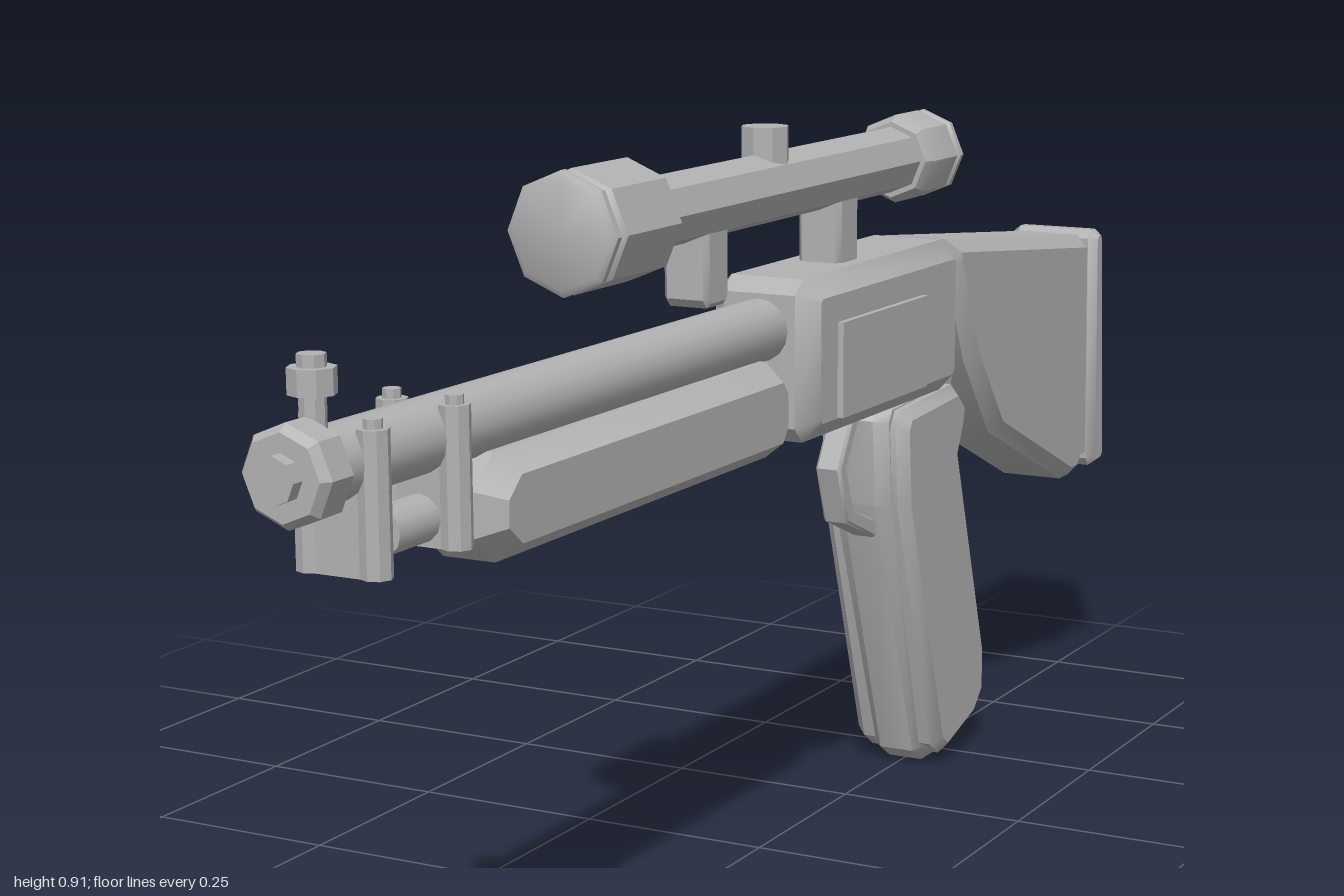
import * as THREE from 'three';
import { toCreasedNormals, mergeVertices } from 'three/addons/utils/BufferGeometryUtils.js';

const grey = new THREE.MeshStandardMaterial({ color: 0xb2b2b2 });
grey.name = 'grey';

export function createModel() {
  const model = new THREE.Group();

  function add(name, geometry) {
    const mesh = new THREE.Mesh(toCreasedNormals(geometry, 0.6), grey);
    mesh.name = name;
    model.add(mesh);
    return mesh;
  }

  // Side profile of [z, y] points, widened along x, with bevelled edges
  function slab(name, points, halfWidth, bevel, thickness = bevel, x = 0) {
    const shape = new THREE.Shape(points.map(([z, y]) => new THREE.Vector2(z, y)));
    const depth = 2 * (halfWidth - thickness);
    const g = new THREE.ExtrudeGeometry(shape, {
      depth, bevelEnabled: bevel > 0, bevelSize: bevel, bevelOffset: -bevel,
      bevelThickness: thickness, bevelSegments: 1,
    });
    g.translate(0, 0, -depth / 2).rotateY(-Math.PI / 2).translate(x, 0, 0);
    return add(name, g);
  }

  const rect = (z0, z1, y0, y1) => [[z0, y0], [z1, y0], [z1, y1], [z0, y1]];

  // Turned part along z: profile of [radius, z] from back to front
  function turned(name, y, profile, sides) {
    const g = new THREE.LatheGeometry(profile.map(([r, z]) => new THREE.Vector2(r, z)), sides);
    g.deleteAttribute('normal');
    g.deleteAttribute('uv');
    return add(name, mergeVertices(g.rotateX(Math.PI / 2).translate(0, y, 0)));
  }

  function upright(name, x, z, y0, y1, radius, sides) {
    const g = new THREE.CylinderGeometry(radius, radius, y1 - y0, sides);
    return add(name, g.translate(x, (y0 + y1) / 2, z));
  }

  // Barrel, muzzle and front sight
  turned('barrel', 0.665, [[0, -0.02], [0.039, -0.02], [0.039, 0.95], [0, 0.95]], 16);
  turned('muzzle', 0.665, [[0, 0.93], [0.045, 0.93], [0.053, 0.94], [0.053, 0.975],
    [0.045, 0.985], [0.025, 0.985], [0.025, 1], [0, 1]], 8);
  upright('frontSightPost', 0, 0.93, 0.69, 0.76, 0.014, 8);
  upright('frontSightBead', 0, 0.93, 0.738, 0.765, 0.025, 8);
  upright('frontSightTip', 0, 0.93, 0.765, 0.778, 0.015, 8);

  // Barrel bands: a plate under the barrel between two round posts
  for (const z of [0.885, 0.74]) {
    slab('bandPlate', rect(z - 0.012, z + 0.012, 0.55, 0.67), 0.048, 0);
    for (const side of [-1, 1]) {
      upright('bandPost', side * 0.038, z, 0.55, 0.7, 0.017, 8);
      upright('bandPostCap', side * 0.038, z, 0.7, 0.71, 0.01, 8);
    }
  }

  // Lower tube and fore-end
  turned('lowerTube', 0.58, [[0, 0], [0.026, 0], [0.026, 0.825], [0, 0.825]], 12);
  slab('foreEnd', [[0.02, 0.55], [0.045, 0.517], [0.66, 0.517], [0.7, 0.55], [0.7, 0.6],
    [0.66, 0.635], [0.045, 0.635], [0.02, 0.605]], 0.062, 0.022, 0.03);

  // Receiver with a raised plate on each side
  slab('receiver', [[0, 0.545], [-0.02, 0.525], [-0.43, 0.525], [-0.45, 0.545],
    [-0.45, 0.71], [-0.43, 0.728], [-0.02, 0.728], [0, 0.71]], 0.073, 0.024);
  for (const side of [-1, 1]) {
    slab('receiverPlate', rect(-0.32, -0.07, 0.55, 0.67), 0.006, 0, 0, side * 0.075);
  }

  // Stock and butt plate
  slab('stockNeck', rect(-0.48, -0.43, 0.57, 0.7), 0.045, 0.01);
  slab('stock', [[-0.455, 0.725], [-0.935, 0.675], [-0.945, 0.35], [-0.915, 0.317],
    [-0.88, 0.317], [-0.61, 0.435], [-0.52, 0.55], [-0.455, 0.69]], 0.062, 0.018);
  slab('buttSpacer', [[-0.93, 0.655], [-0.97, 0.655], [-0.98, 0.345], [-0.935, 0.345]], 0.055, 0);
  slab('buttPlate', [[-0.945, 0.668], [-0.955, 0.68], [-0.972, 0.68], [-0.98, 0.668],
    [-1, 0.335], [-0.99, 0.325], [-0.965, 0.323], [-0.955, 0.335]], 0.068, 0.009, 0.012);

  // Grip: a core with a narrower cheek on each side
  const grip = [[-0.275, 0.505], [-0.29, 0.53], [-0.47, 0.54], [-0.505, 0.51], [-0.5, 0.48],
    [-0.48, 0.44], [-0.585, 0.13], [-0.585, 0.065], [-0.55, 0.03], [-0.44, 0], [-0.41, 0.02],
    [-0.285, 0.39]];
  slab('gripCore', grip, 0.042, 0.012, 0.018);
  const cheek = grip.map(([z, y]) => [-0.43 + (z + 0.43) * 0.9, 0.27 + (y - 0.27) * 0.95]);
  slab('gripCheeks', cheek, 0.064, 0.014);
  slab('gripTang', [[-0.36, 0.52], [-0.4, 0.555], [-0.49, 0.555], [-0.515, 0.535],
    [-0.505, 0.5], [-0.45, 0.49]], 0.035, 0.01);

  // Curved guard in front of the grip, and a small spur behind it
  slab('guard', [[-0.24, 0.54], [-0.19, 0.455], [-0.215, 0.38], [-0.31, 0.34], [-0.31, 0.365],
    [-0.235, 0.395], [-0.213, 0.455], [-0.265, 0.54]], 0.018, 0.004);
  slab('spur', [[-0.5, 0.375], [-0.575, 0.335], [-0.562, 0.305], [-0.5, 0.34]], 0.018, 0.003);

  // Scope tube with a wide front bell, rear eyepiece, knob and mounts
  turned('scopeTube', 0.837, [[0, -0.4], [0.043, -0.4], [0.043, 0.35], [0, 0.35]], 8);
  turned('scopeBell', 0.837, [[0, 0.305], [0.058, 0.305], [0.07, 0.32], [0.07, 0.44], [0.062, 0.445],
    [0.062, 0.45], [0.07, 0.454], [0.07, 0.462], [0.062, 0.467], [0, 0.467]], 8);
  turned('scopeEyepiece', 0.837, [[0, -0.485], [0.052, -0.485], [0.058, -0.48], [0.058, -0.472],
    [0.052, -0.468], [0.058, -0.46], [0.058, -0.39], [0.05, -0.375], [0, -0.375]], 8);
  upright('scopeKnob', 0, -0.015, 0.86, 0.913, 0.03, 8);
  for (const z of [0.16, -0.19]) {
    slab('scopeMount', [[z - 0.028, 0.728], [z - 0.02, 0.718], [z + 0.02, 0.718], [z + 0.028, 0.728],
      [z + 0.028, 0.82], [z - 0.028, 0.82]], 0.03, 0.006);
  }

  return model;
}
